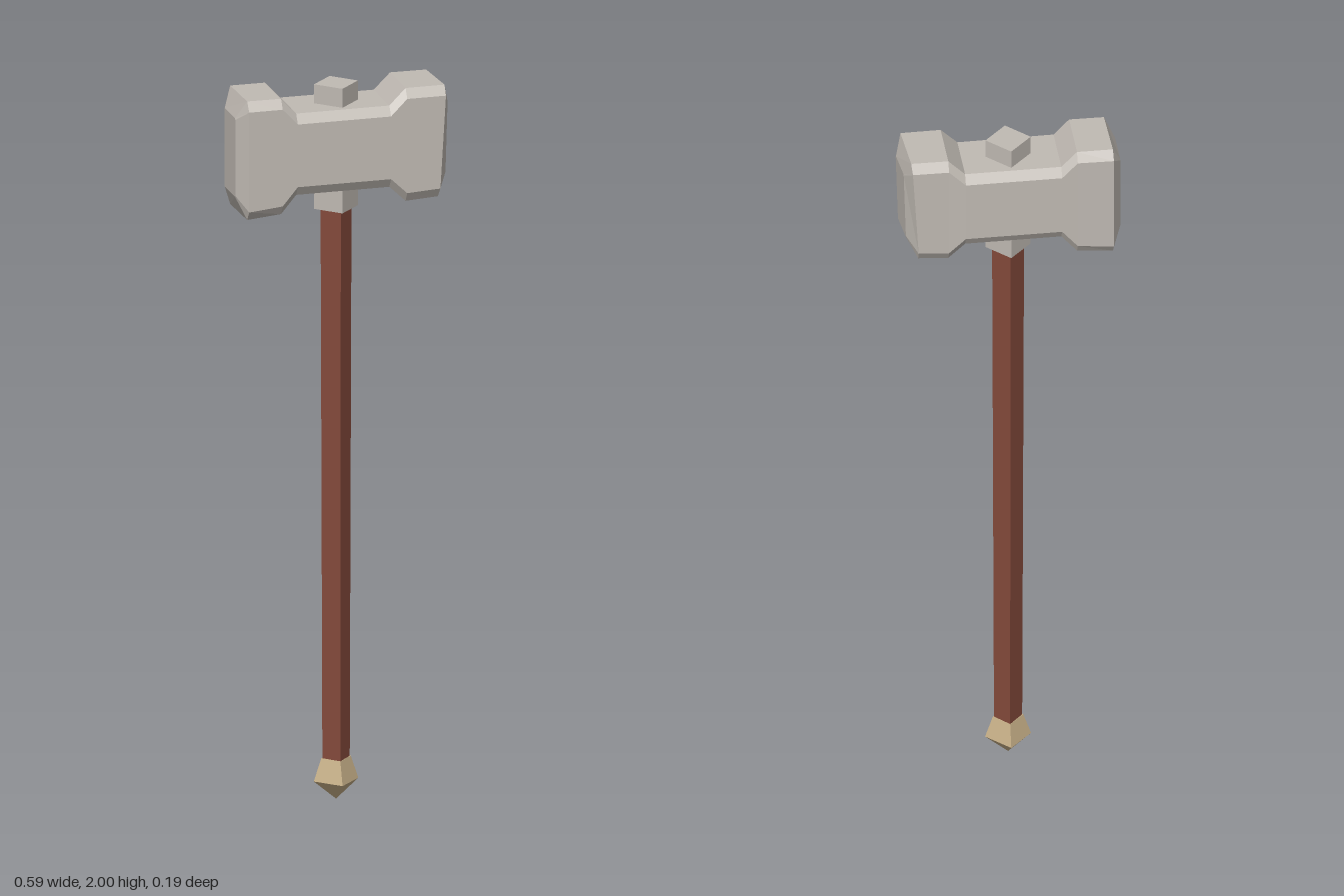
import * as THREE from 'three';

const flat = (name, color) => {
  const m = new THREE.MeshStandardMaterial({ color, flatShading: true });
  m.name = name;
  return m;
};

// Chamfered rectangular section; the end sections lean with height and depth
function section({ x, top, bottom, front = 0.092, back, cy = 0.026, cz = 0.016, leanY = 0, leanZ = 0 }) {
  const ring = [
    [top, front - cz], [top - cy, front], [bottom + cy, front], [bottom, front - cz],
    [bottom, back + cz], [bottom + cy, back], [top - cy, back], [top, back + cz],
  ];
  return ring.map(([y, z]) => [x + leanY * (y - 1.83) + leanZ * z, y, z]);
}

// Skin the sections, which run towards +x, and close both ends
function loft(sections) {
  const pos = [];
  const tri = (...corners) => corners.forEach((c) => pos.push(...c));
  const n = sections[0].length;
  for (let i = 0; i < sections.length - 1; i++) {
    const s = sections[i], t = sections[i + 1];
    for (let j = 0; j < n; j++) {
      const k = (j + 1) % n;
      tri(s[j], s[k], t[k]);
      tri(s[j], t[k], t[j]);
    }
  }
  const first = sections[0], last = sections[sections.length - 1];
  for (let j = 1; j < n - 1; j++) {
    tri(first[0], first[j + 1], first[j]);
    tri(last[0], last[j], last[j + 1]);
  }
  const g = new THREE.BufferGeometry();
  g.setAttribute('position', new THREE.Float32BufferAttribute(pos, 3));
  g.computeVertexNormals();
  return g;
}

export function createModel() {
  const hammer = new THREE.Group();
  hammer.name = 'warHammer';
  const stone = flat('paleStone', 0xc0bab3);
  const wood = flat('redBrownWood', 0x844a3b);
  const brass = flat('paleBrass', 0xc8b189);

  const add = (name, geometry, material) => {
    const mesh = new THREE.Mesh(geometry, material);
    mesh.name = name;
    hammer.add(mesh);
    return mesh;
  };
  // Four-sided shaft piece with its corners on the x and z axes
  const diamond = (name, material, y0, y1, r0, r1, open = false) => {
    const g = new THREE.CylinderGeometry(r1, r0, y1 - y0, 4, 1, open);
    return add(name, g.translate(0, (y0 + y1) / 2, 0), material);
  };

  // Head: two flared, slightly uneven lumps joined by a narrower waist
  add('head', loft([
    section({ x: -0.295, top: 1.94, bottom: 1.72, front: 0.052, back: -0.052, cy: 0.004, cz: 0.004 }),
    section({ x: -0.27, top: 1.992, bottom: 1.661, back: -0.095, cz: 0.018, leanZ: 0.02 }),
    section({ x: -0.175, top: 1.992, bottom: 1.67, back: -0.092 }),
    section({ x: -0.133, top: 1.947, bottom: 1.72, back: -0.091 }),
    section({ x: 0.126, top: 1.947, bottom: 1.72, back: -0.089 }),
    section({ x: 0.171, top: 1.992, bottom: 1.677, back: -0.087 }),
    section({ x: 0.265, top: 1.992, bottom: 1.682, back: -0.085, leanY: 0.06, leanZ: 0.06 }),
    section({ x: 0.288, top: 1.94, bottom: 1.735, front: 0.048, back: -0.042, cy: 0.004, cz: 0.004, leanY: 0.03, leanZ: 0.1 }),
  ]), stone);

  // Socket running through the head
  diamond('socket', stone, 1.652, 2, 0.061, 0.061);

  // Handle, a little thicker towards the head
  diamond('handle', wood, 0.1, 1.66, 0.038, 0.043).scale.z = 1.06;

  // Pommel: flared collar over a pointed tip
  diamond('pommelCollar', brass, 0.053, 0.116, 0.062, 0.041);
  diamond('pommelTip', brass, 0, 0.053, 0, 0.062, true);

  return hammer;
}
